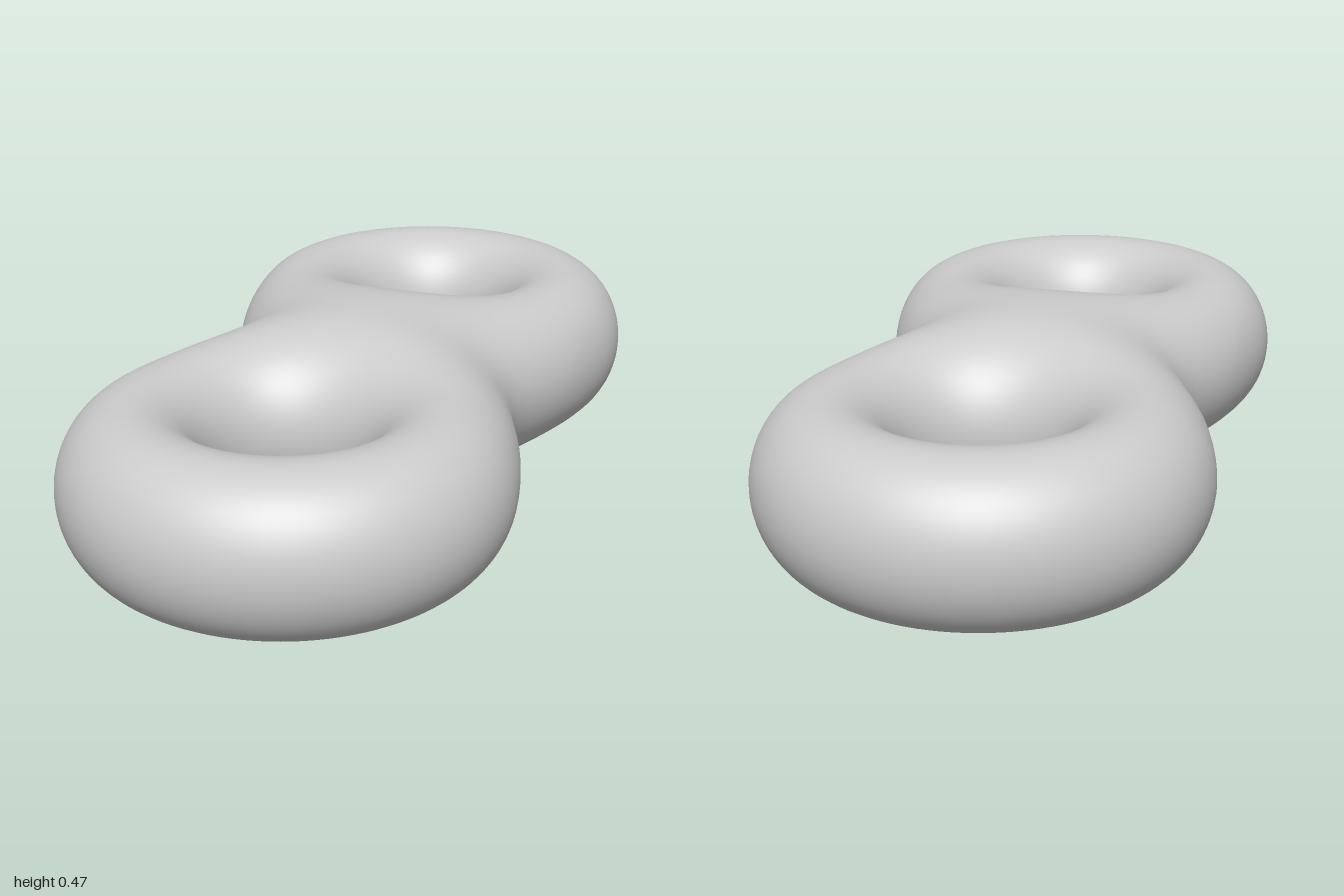
import * as THREE from 'three';
import { mergeGeometries } from 'three/addons/utils/BufferGeometryUtils.js';

const RING = 0.336;     // radius of each ring's centre line
const TUBE = 0.163;     // half width of the tube
const TALL = 0.187;     // half height of the tube
const OFFSET = 0.5;     // ring centres at z = +-OFFSET
const MID_Y = 0.2405;   // height of the symmetry plane

// Signed field of one ring with a slightly tall, elliptical section
function ringField(x, y, z) {
  return Math.hypot(Math.hypot(x, z) - RING, y * TUBE / TALL) - TUBE;
}

// Smooth union of the two rings
function field(x, y, z) {
  const a = ringField(x, y, z - OFFSET);
  const b = ringField(x, y, z + OFFSET);
  const k = 0.404 + 0.7 * Math.min(x * x, 0.2);
  const h = Math.max(k - Math.abs(a - b), 0) / k;
  return Math.min(a, b) - h * h * k / 4;
}

// Finds where f changes sign, from an inside value to an outside value
function crossing(f, inside, outside) {
  for (let i = 0; i < 45; i++) {
    const mid = (inside + outside) / 2;
    if (f(mid) < 0) inside = mid; else outside = mid;
  }
  return (inside + outside) / 2;
}

function normalAt(x, y, z) {
  const e = 1e-4;
  return new THREE.Vector3(
    field(x + e, y, z) - field(x - e, y, z),
    field(x, y + e, z) - field(x, y - e, z),
    field(x, y, z + e) - field(x, y, z - e)
  ).normalize();
}

// Angles around a hole: the waist side, then the free outer side
function sweepAngles(corner) {
  const angles = [], inner = 28, outer = 84;
  for (let i = 0; i < inner; i++) angles.push(-corner + 2 * corner * i / inner);
  for (let i = 0; i <= outer; i++) angles.push(corner + (2 * Math.PI - 2 * corner) * i / outer);
  return angles;
}

// One quarter of the body: upper or lower sheet of the front or back ring
function sheet(sy, sz) {
  const steps = 32;
  const waist = crossing(x => field(x, 0, 0), 0, 0.7);
  const corner = Math.atan2(waist, OFFSET);
  const angles = sweepAngles(corner);
  const pos = [], nor = [], index = [];
  angles.forEach((t, i) => {
    const sin = Math.sin(t), cos = Math.cos(t);
    const along = r => field(r * sin, 0, OFFSET - r * cos);
    const rIn = crossing(along, RING, 0);
    const rOut = Math.abs(t) <= corner + 1e-9 ? OFFSET / cos : crossing(along, RING, 0.8);
    for (let j = 0; j <= steps; j++) {
      const r = rIn + (rOut - rIn) * (1 - Math.cos(Math.PI * j / steps)) / 2;
      const x = r * sin, z = OFFSET - r * cos;
      const y = crossing(v => field(x, v, z), 0, 0.4);
      const n = normalAt(x, y, z);
      pos.push(x, MID_Y + sy * y, sz * z);
      nor.push(n.x, sy * n.y, sz * n.z);
      if (i < angles.length - 1 && j < steps) {
        const a = i * (steps + 1) + j, b = a + steps + 1;
        if (sy * sz > 0) index.push(a, b, b + 1, a, b + 1, a + 1);
        else index.push(a, b + 1, b, a, a + 1, b + 1);
      }
    }
  });
  const geo = new THREE.BufferGeometry();
  geo.setAttribute('position', new THREE.Float32BufferAttribute(pos, 3));
  geo.setAttribute('normal', new THREE.Float32BufferAttribute(nor, 3));
  geo.setIndex(index);
  return geo;
}

export function createModel() {
  const group = new THREE.Group();
  group.name = 'doubleRing';
  // Mirror the quarter in y and z to close the two-holed body
  const quarters = [];
  for (const sy of [1, -1]) for (const sz of [1, -1]) quarters.push(sheet(sy, sz));
  const body = new THREE.Mesh(
    mergeGeometries(quarters),
    new THREE.MeshStandardMaterial({ color: 0xcccccc })
  );
  body.name = 'blendedRings';
  group.add(body);
  return group;
}
